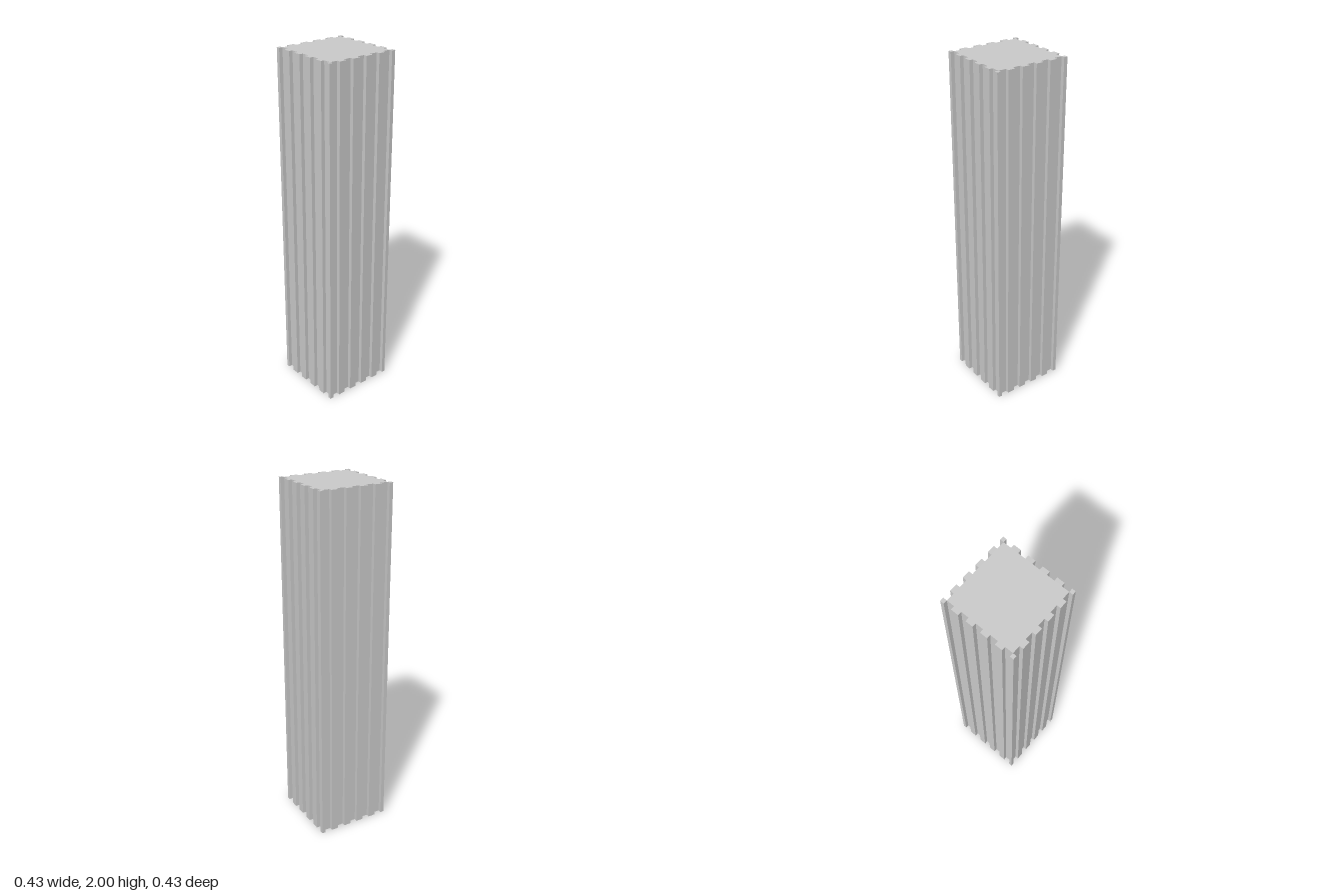
import * as THREE from 'three';
import { mergeGeometries } from 'three/addons/utils/BufferGeometryUtils.js';

const HEIGHT = 2;
const OUTER = 0.215;   // half width over the ribs
const INNER = 0.194;   // half width at the grooves
const RIBS = [-0.129, -0.043, 0.042, 0.128]; // rib centres along each side
const RIB_HALF = 0.021;

const material = new THREE.MeshStandardMaterial({
  color: 0xcccccc, flatShading: true, side: THREE.DoubleSide,
});

// Folded profile of one side, from its left corner to its right corner
function sideProfile() {
  const points = [[-OUTER, OUTER], [-INNER, OUTER], [-INNER, INNER]];
  for (const c of RIBS) {
    points.push([c - RIB_HALF, INNER], [c - RIB_HALF, OUTER],
      [c + RIB_HALF, OUTER], [c + RIB_HALF, INNER]);
  }
  points.push([INNER, INNER], [INNER, OUTER], [OUTER, OUTER]);
  return points;
}

// Upright sheet following the profile
function wallGeometry(profile) {
  const positions = [];
  for (let i = 0; i < profile.length - 1; i++) {
    const [ax, az] = profile[i];
    const [bx, bz] = profile[i + 1];
    positions.push(ax, 0, az, bx, 0, bz, bx, HEIGHT, bz);
    positions.push(ax, 0, az, bx, HEIGHT, bz, ax, HEIGHT, az);
  }
  const geometry = new THREE.BufferGeometry();
  geometry.setAttribute('position', new THREE.Float32BufferAttribute(positions, 3));
  geometry.computeVertexNormals();
  return geometry;
}

// Flat rectangle at the top
function topPatch(x0, x1, z0, z1) {
  return new THREE.PlaneGeometry(x1 - x0, z1 - z0)
    .rotateX(-Math.PI / 2)
    .translate((x0 + x1) / 2, HEIGHT, (z0 + z1) / 2);
}

export function createModel() {
  const model = new THREE.Group();
  model.name = 'flutedPillar';

  // Four ribbed walls, the underside stays open
  const wall = wallGeometry(sideProfile());
  const ribTops = mergeGeometries([
    ...RIBS.map((c) => topPatch(c - RIB_HALF, c + RIB_HALF, INNER, OUTER)),
    topPatch(INNER, OUTER, INNER, OUTER),
  ]);
  ['front', 'left', 'back', 'right'].forEach((side, i) => {
    const group = new THREE.Group();
    group.name = `${side}Side`;
    group.rotation.y = i * Math.PI / 2;
    const wallMesh = new THREE.Mesh(wall, material);
    wallMesh.name = `${side}Wall`;
    const topMesh = new THREE.Mesh(ribTops, material);
    topMesh.name = `${side}RibTops`;
    group.add(wallMesh, topMesh);
    model.add(group);
  });

  // Square lid between the ribs
  const lid = new THREE.Mesh(topPatch(-INNER, INNER, -INNER, INNER), material);
  lid.name = 'lid';
  model.add(lid);
  return model;
}
